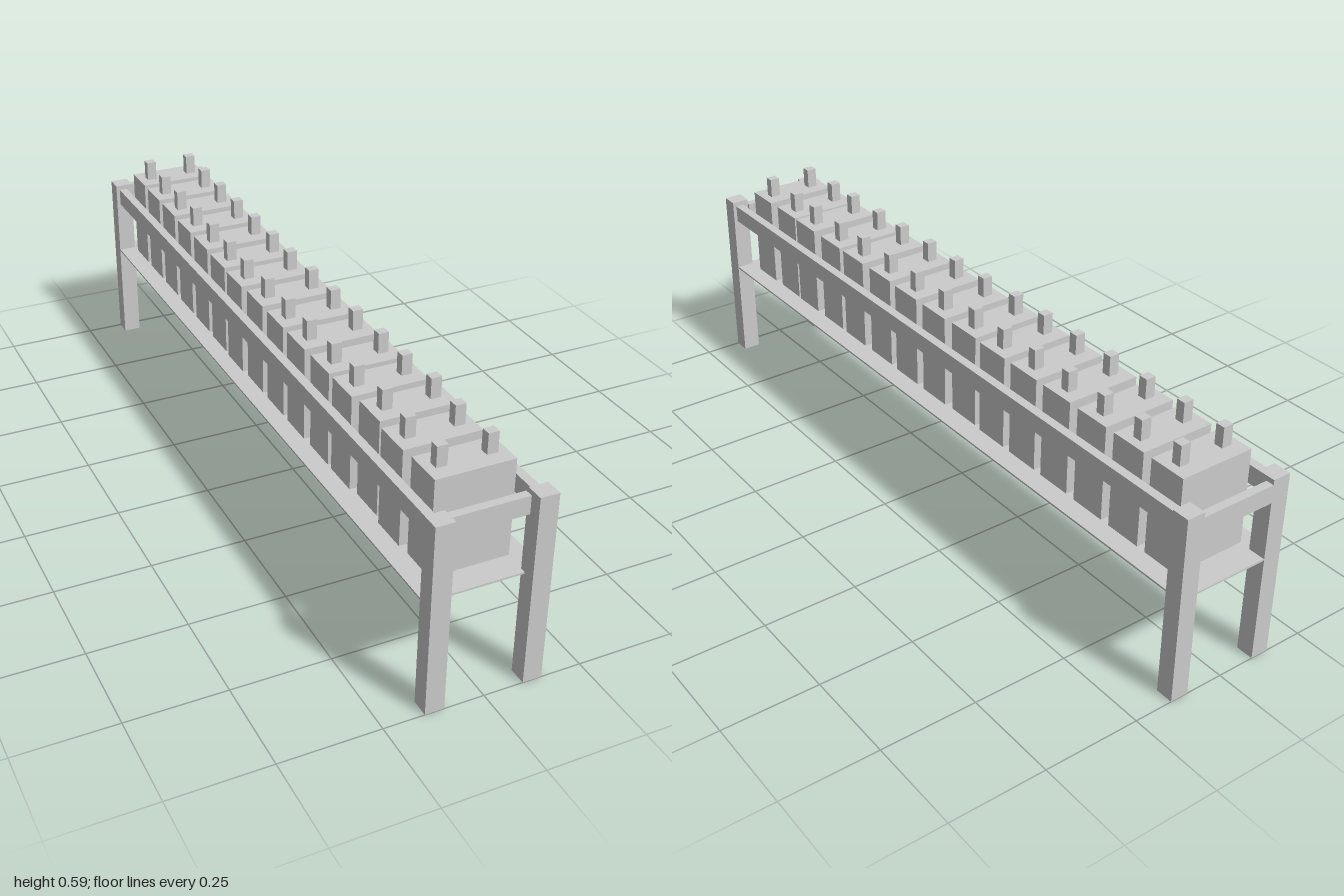
import * as THREE from 'three';

export function createModel() {
  const root = new THREE.Group();
  const material = new THREE.MeshStandardMaterial({ color: 0xcccccc, flatShading: true });

  // Box given by its [min, max] range on each axis
  function box(name, [x0, x1], [y0, y1], [z0, z1], parent = root) {
    const mesh = new THREE.Mesh(new THREE.BoxGeometry(x1 - x0, y1 - y0, z1 - z0), material);
    mesh.position.set((x0 + x1) / 2, (y0 + y1) / 2, (z0 + z1) / 2);
    mesh.name = name;
    parent.add(mesh);
  }
  const mirrored = (s, a, b) => (s > 0 ? [a, b] : [-b, -a]);

  // Four legs and the two long rails
  for (const sx of [-1, 1]) {
    for (const sz of [-1, 1]) {
      box('leg', mirrored(sx, 0.1, 0.148), [0, 0.493], mirrored(sz, 0.954, 1));
    }
    box('sideRail', mirrored(sx, 0.115, 0.138), [0.433, 0.48], [-0.96, 0.96]);
  }

  // End rails: the back one is flush with the legs, the front one set in
  box('backRail', [-0.1, 0.1], [0.433, 0.48], [-1, -0.979]);
  box('frontRail', [-0.1, 0.1], [0.433, 0.48], [0.947, 0.968]);

  // Thin shelf carrying the cells
  box('shelf', [-0.147, 0.147], [0.278, 0.283], [-0.999, 0.968]);

  // Row of cells, each slightly out of line: [x, lift, z]
  const cells = [
    [0.002, 0.001, 0.854], [-0.002, 0, 0.725], [0.004, 0.005, 0.608],
    [-0.001, 0.001, 0.482], [-0.001, 0.001, 0.366], [-0.003, 0.001, 0.237],
    [-0.002, 0, 0.113], [-0.002, 0, -0.013], [-0.006, 0, -0.137],
    [-0.003, 0, -0.258], [-0.002, 0.001, -0.382], [-0.002, 0.001, -0.505],
    [-0.001, 0.001, -0.631], [-0.001, 0.001, -0.755], [-0.001, 0.001, -0.878],
  ];
  for (const [x, lift, z] of cells) {
    const cell = new THREE.Group();
    cell.name = 'batteryCell';
    cell.position.set(x, 0.284 + lift, z);
    box('cellBody', [-0.099, 0.099], [0, 0.249], [-0.049, 0.049], cell);
    // Two terminal posts
    for (const s of [-1, 1]) {
      box('terminal', mirrored(s, 0.048, 0.075), [0.249, 0.302], [-0.012, 0.012], cell);
    }
    root.add(cell);
  }
  return root;
}
